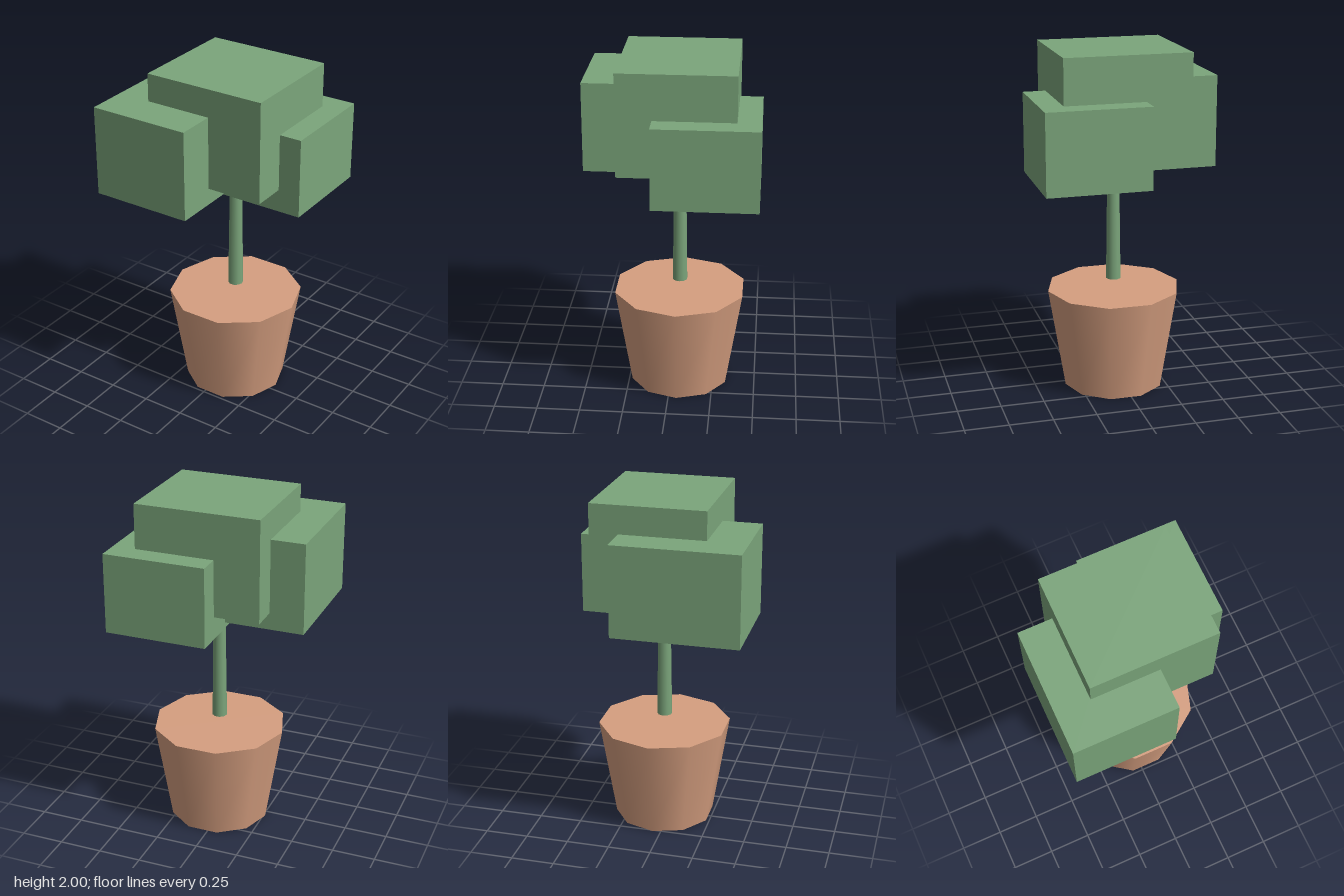
import * as THREE from 'three';

const green = new THREE.MeshStandardMaterial({ color: 0x7ba57b });
const clay = new THREE.MeshStandardMaterial({ color: 0xd69f80 });

// Ten-sided tapered cylinder with corners on the x axis
function taper(name, rTop, rBottom, y0, y1, material) {
  const geometry = new THREE.CylinderGeometry(rTop, rBottom, y1 - y0, 10, 1, false, Math.PI / 2);
  const mesh = new THREE.Mesh(geometry, material);
  mesh.name = name;
  mesh.position.set(0.032, (y0 + y1) / 2, -0.048);
  return mesh;
}

// Box given by its lowest and highest corners
function block(name, min, max) {
  const size = max.map((v, i) => v - min[i]);
  const mesh = new THREE.Mesh(new THREE.BoxGeometry(...size), green);
  mesh.name = name;
  mesh.position.set(...max.map((v, i) => (v + min[i]) / 2));
  return mesh;
}

export function createModel() {
  const group = new THREE.Group();
  group.name = 'pottedTree';

  // Filled pot, and the trunk hovering just above it
  group.add(taper('pot', 0.39, 0.293, 0, 0.593, clay));
  group.add(taper('trunk', 0.033, 0.044, 0.643, 1.5, green));

  // Three overlapping blocks of leaves
  group.add(
    block('frontFoliage', [-0.525, 1.316, -0.213], [0.065, 1.838, 0.505]),
    block('topFoliage', [-0.328, 1.414, -0.376], [0.392, 2, 0.278]),
    block('backFoliage', [-0.067, 1.282, -0.507], [0.522, 1.743, 0.08]),
  );
  return group;
}
